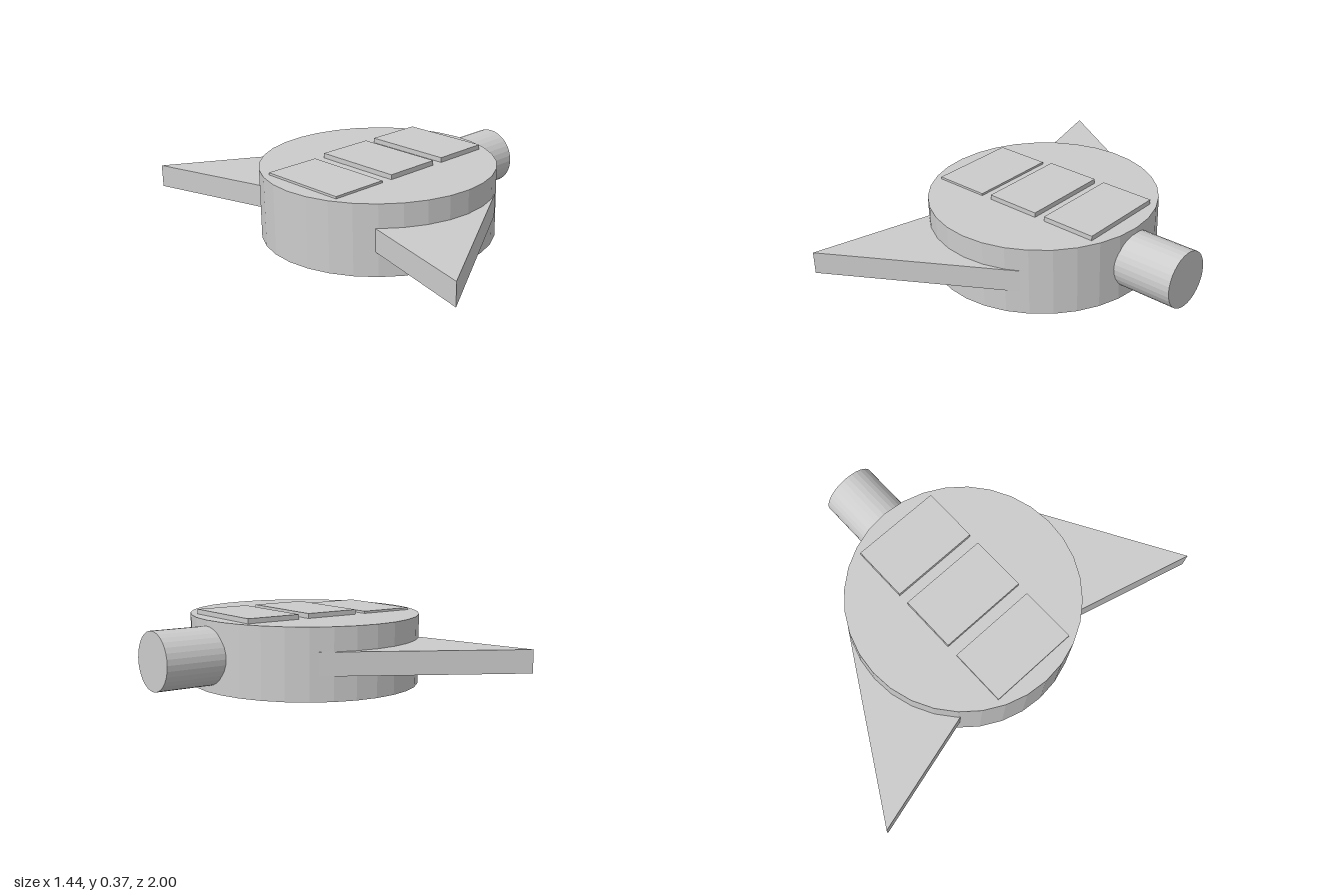
import * as THREE from 'three';

export function createModel() {
  const group = new THREE.Group();
  const material = new THREE.MeshStandardMaterial({ color: 0xcccccc });
  const bodyX = -0.145, bodyR = 0.575, bodyH = 0.347;

  function add(name, geometry, x, y, z) {
    const mesh = new THREE.Mesh(geometry, material);
    mesh.name = name;
    mesh.position.set(x, y, z);
    group.add(mesh);
    return mesh;
  }

  // Round drum body
  const drum = new THREE.CylinderGeometry(bodyR, bodyR, bodyH, 32).toNonIndexed();
  drum.computeVertexNormals();
  add('body', drum, bodyX, bodyH / 2, 0);

  // Stub pipe, with its inner end buried in the body
  const pipe = new THREE.CylinderGeometry(0.143, 0.143, 0.4, 32).toNonIndexed();
  pipe.computeVertexNormals();
  add('sidePipe', pipe, 0.52, 0.175, 0).rotation.z = -Math.PI / 2;

  // Three raised plates: centre x and top height
  [[-0.492, 0.358], [-0.145, 0.371], [0.2, 0.371]].forEach(([x, top], i) => {
    const bottom = bodyH - 0.02;
    add('topPlate' + (i + 1), new THREE.BoxGeometry(0.288, top - bottom, 0.46), x, (top + bottom) / 2, 0);
  });

  // Mirrored triangular fins, each meeting the drum near its tangent
  for (const side of [1, -1]) {
    const shape = new THREE.Shape([
      new THREE.Vector2(-0.72, -side),
      new THREE.Vector2(0.14, -0.5 * side),
      new THREE.Vector2(-0.55, -0.36 * side),
    ]);
    const fin = new THREE.ExtrudeGeometry(shape, { depth: 0.112, bevelEnabled: false });
    fin.rotateX(-Math.PI / 2);
    add(side > 0 ? 'frontFin' : 'backFin', fin, 0, 0.12, 0);
  }
  return group;
}
